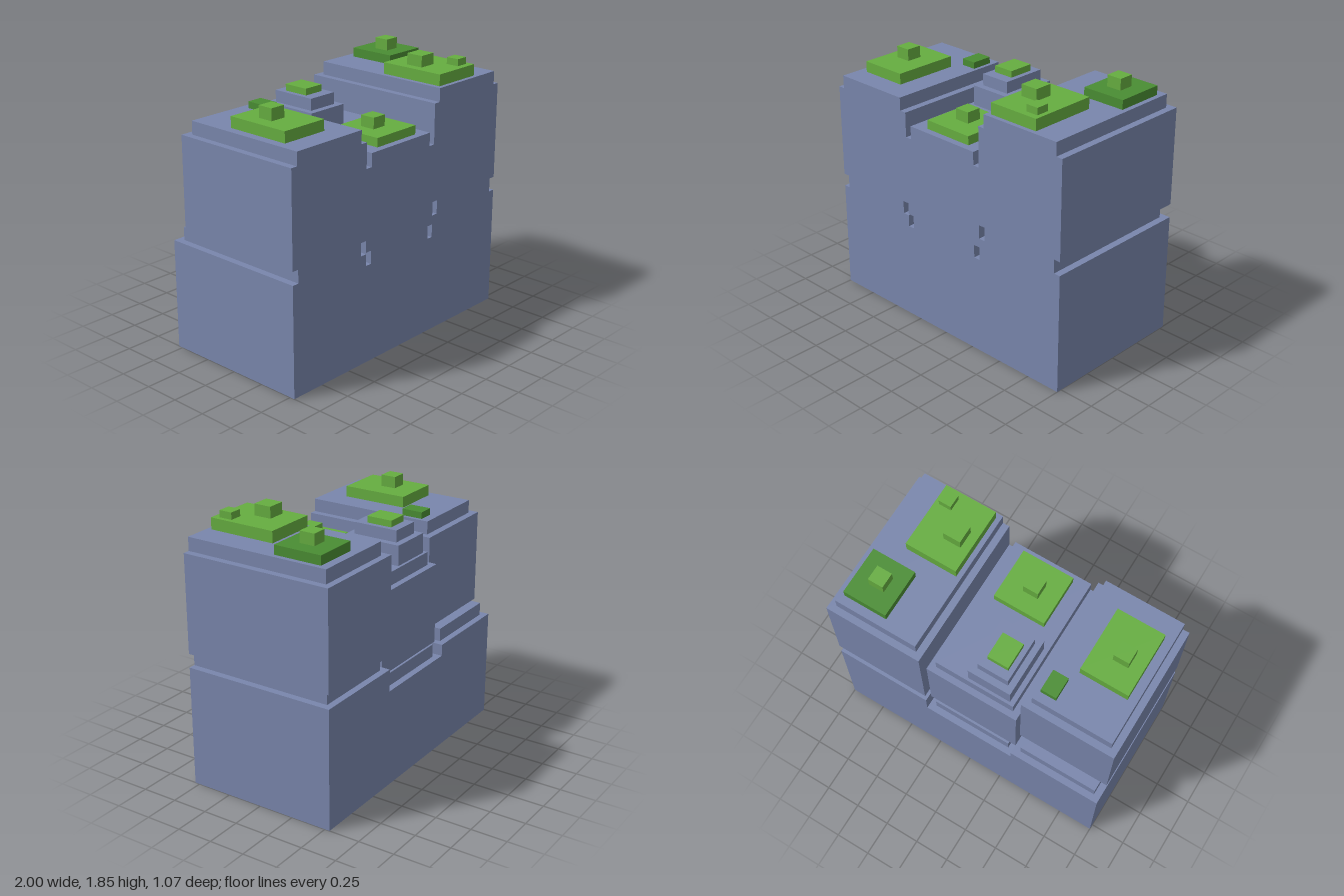
import * as THREE from 'three';

const FRONT = 0.535; // shared flush front of all cliff columns

const mat = (name, color) => {
  const m = new THREE.MeshStandardMaterial({ color });
  m.name = name;
  return m;
};

// Box given by its min/max extents
function block(parent, name, material, [x0, x1], [y0, y1], [z0, z1]) {
  const mesh = new THREE.Mesh(new THREE.BoxGeometry(x1 - x0, y1 - y0, z1 - z0), material);
  mesh.position.set((x0 + x1) / 2, (y0 + y1) / 2, (z0 + z1) / 2);
  mesh.name = name;
  parent.add(mesh);
}

export function createModel() {
  const model = new THREE.Group();
  model.name = 'blockyCliff';
  const rock = mat('slateRock', 0x7986ac);
  const grass = mat('lightGrass', 0x66ad40);
  const darkGrass = mat('darkGrass', 0x4a8d33);

  // Rock columns: base, recessed neck, upper block, inset cap
  // y: base top, neck top, upper top, cap top; backs: neck, upper, cap
  const columns = [
    { name: 'left', x: [0.32, 1], inner: [0.367, 0.953], y: [0.833, 0.928, 1.603, 1.695], backs: [-0.49, -0.535, -0.49] },
    { name: 'middle', x: [-0.342, 0.32], inner: [-0.295, 0.274], y: [0.68, 0.77, 1.327, 1.418], backs: [-0.49, -0.475, -0.433] },
    { name: 'right', x: [-1, -0.342], inner: [-0.953, -0.39], y: [0.76, 0.85, 1.498, 1.588], backs: [-0.49, -0.418, -0.37] },
  ];
  for (const { name, x, inner, y, backs } of columns) {
    const column = new THREE.Group();
    column.name = name + 'Column';
    block(column, 'base', rock, x, [0, y[0]], [-0.535, FRONT]);
    block(column, 'neck', rock, inner, [y[0], y[1]], [backs[0], FRONT]);
    block(column, 'upperBlock', rock, x, [y[1], y[2]], [backs[1], FRONT]);
    block(column, 'cap', rock, inner, [y[2], y[3]], [backs[2], FRONT]);
    model.add(column);
  }

  // Stepped rock stack on the middle column
  block(model, 'lowerRockStep', rock, [-0.262, 0.042], [1.418, 1.555], [-0.415, -0.005]);
  block(model, 'upperRockStep', rock, [-0.22, -0.003], [1.555, 1.635], [-0.37, -0.05]);
  block(model, 'stackGrass', grass, [-0.186, -0.037], [1.635, 1.68], [-0.31, -0.128]);

  // Grass on the right column
  block(model, 'rightGrassPatch', grass, [-0.893, -0.556], [1.588, 1.663], [-0.08, 0.38]);
  block(model, 'rightTuft', grass, [-0.803, -0.695], [1.663, 1.743], [0.073, 0.181]);
  block(model, 'smallDarkBush', darkGrass, [-0.525, -0.416], [1.588, 1.633], [-0.31, -0.16]);

  // Grass on the middle column
  block(model, 'middleGrassPatch', grass, [-0.187, 0.183], [1.418, 1.479], [0.122, 0.487]);
  block(model, 'middleTuft', grass, [-0.066, 0.041], [1.479, 1.555], [0.244, 0.35]);

  // Grass on the left column
  block(model, 'leftGrassPatch', grass, [0.4, 0.765], [1.695, 1.773], [0.032, 0.505]);
  block(model, 'leftTuft', grass, [0.46, 0.583], [1.773, 1.85], [0.182, 0.305]);
  block(model, 'smallTuft', grass, [0.646, 0.734], [1.773, 1.82], [0.368, 0.46]);
  block(model, 'darkGrassPatch', darkGrass, [0.614, 0.92], [1.695, 1.758], [-0.432, -0.096]);
  block(model, 'darkPatchTuft', grass, [0.706, 0.812], [1.758, 1.835], [-0.31, -0.204]);

  return model;
}
